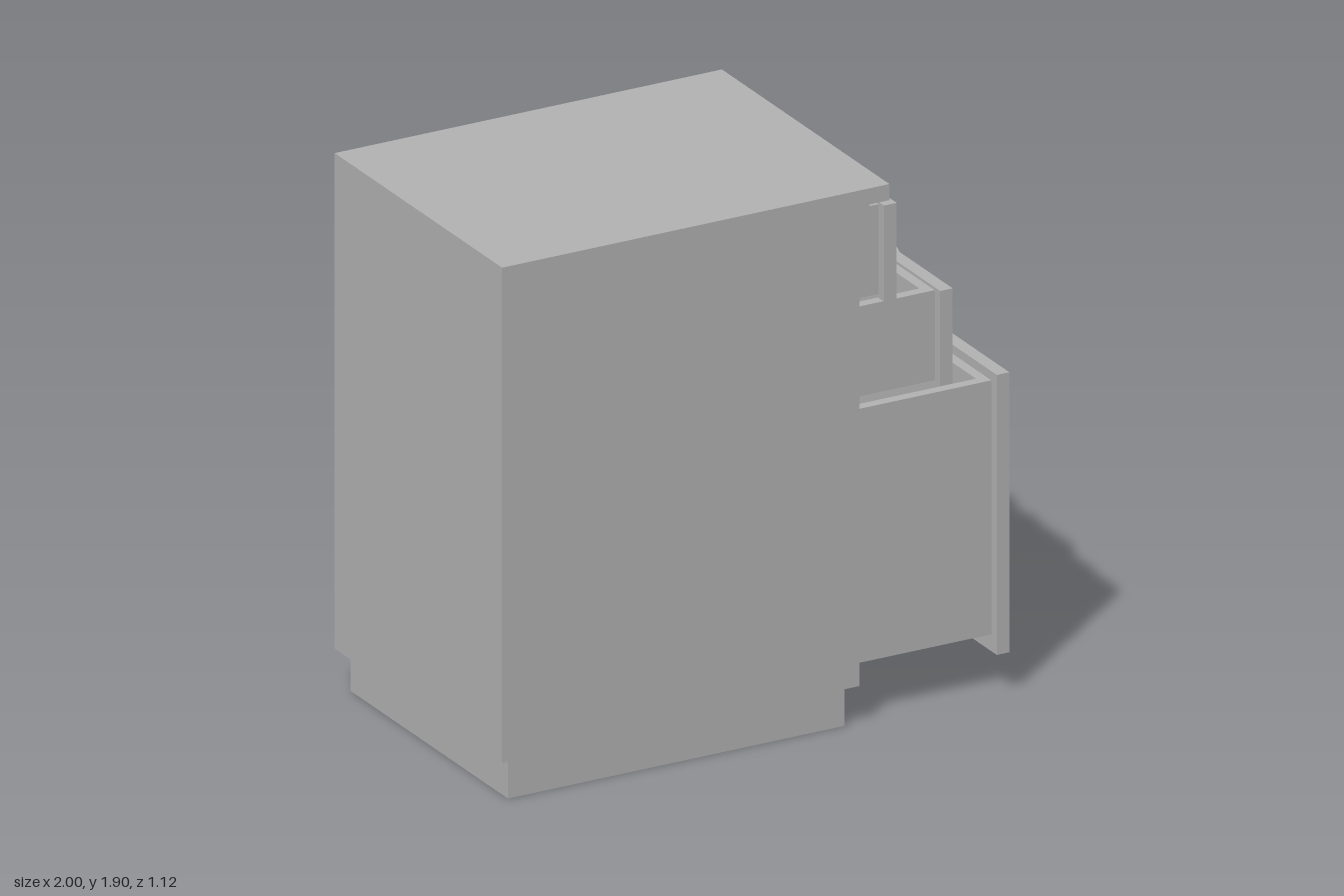
import * as THREE from 'three';

export function createModel() {
  const model = new THREE.Group();
  model.name = 'drawerCabinet';
  const grey = new THREE.MeshStandardMaterial({ color: 0xb4b4b4 });
  grey.name = 'grey';

  // Box given by its limits on each axis
  function box(parent, name, [x0, x1], [y0, y1], [z0, z1]) {
    const mesh = new THREE.Mesh(new THREE.BoxGeometry(x1 - x0, y1 - y0, z1 - z0), grey);
    mesh.name = name;
    mesh.position.set((x0 + x1) / 2, (y0 + y1) / 2, (z0 + z1) / 2);
    parent.add(mesh);
  }

  // Hollow carcass, open towards +x
  const W = 0.558, T = 0.025, FRONT = 0.337, BASE = 0.145, TOP = 1.84;
  const carcass = new THREE.Group();
  carcass.name = 'carcass';
  model.add(carcass);
  box(carcass, 'plinth', [-0.96, 0.3], [0, BASE], [-0.525, 0.525]);
  box(carcass, 'top', [-1, 0.45], [TOP, 1.897], [-W, W]);
  box(carcass, 'topLip', [FRONT, 0.375], [1.83, TOP], [-W, W]);
  box(carcass, 'bottom', [-1 + T, FRONT], [BASE, BASE + T], [-W + T, W - T]);
  box(carcass, 'back', [-1, -1 + T], [BASE, TOP], [-W + T, W - T]);
  box(carcass, 'leftSide', [-1, FRONT], [BASE, TOP], [W - T, W]);
  box(carcass, 'rightSide', [-1, FRONT], [BASE, TOP], [-W, -W + T]);

  // Turned knob: flared foot, narrow neck, domed head
  const profile = [
    [0.045, 0], [0.045, 0.006], [0.036, 0.014], [0.025, 0.024], [0.022, 0.036],
    [0.022, 0.056], [0.028, 0.066], [0.042, 0.074], [0.049, 0.081], [0.05, 0.087],
    [0.046, 0.094], [0.034, 0.098], [0.018, 0.1], [0, 0.101],
  ].map(([r, h]) => new THREE.Vector2(r, h));
  const knobGeometry = new THREE.LatheGeometry(profile, 32);
  knobGeometry.rotateZ(-Math.PI / 2);

  // Drawers pulled out by growing amounts
  const D = 0.522, WALL = 0.037, LENGTH = 1.24;
  const drawers = [
    { name: 'topDrawer', x: 0.43, front: [1.485, 1.825], tray: [1.5, 1.817], knob: 1.712 },
    { name: 'middleDrawer', x: 0.64, front: [1.143, 1.48], tray: [1.152, 1.47], knob: 1.37 },
    { name: 'bottomDrawer', x: 0.852, front: [0.15, 1.14], tray: [0.21, 1.108], knob: 0.85 },
  ];
  for (const { name, x, front, tray, knob } of drawers) {
    const drawer = new THREE.Group();
    drawer.name = name;
    model.add(drawer);
    const back = x - LENGTH;
    const inner = [-D + WALL, D - WALL];
    box(drawer, 'drawerFront', [x, x + 0.047], front, [-W, W]);
    box(drawer, 'drawerLeftWall', [back, x], tray, [D - WALL, D]);
    box(drawer, 'drawerRightWall', [back, x], tray, [-D, -D + WALL]);
    box(drawer, 'drawerInnerFront', [x - WALL, x], tray, inner);
    box(drawer, 'drawerBackWall', [back, back + WALL], tray, inner);
    box(drawer, 'drawerFloor', [back + WALL, x - WALL], [tray[0], tray[0] + WALL], inner);
    const handle = new THREE.Mesh(knobGeometry, grey);
    handle.name = 'knob';
    handle.position.set(x + 0.047, knob, 0.01);
    drawer.add(handle);
  }
  return model;
}
